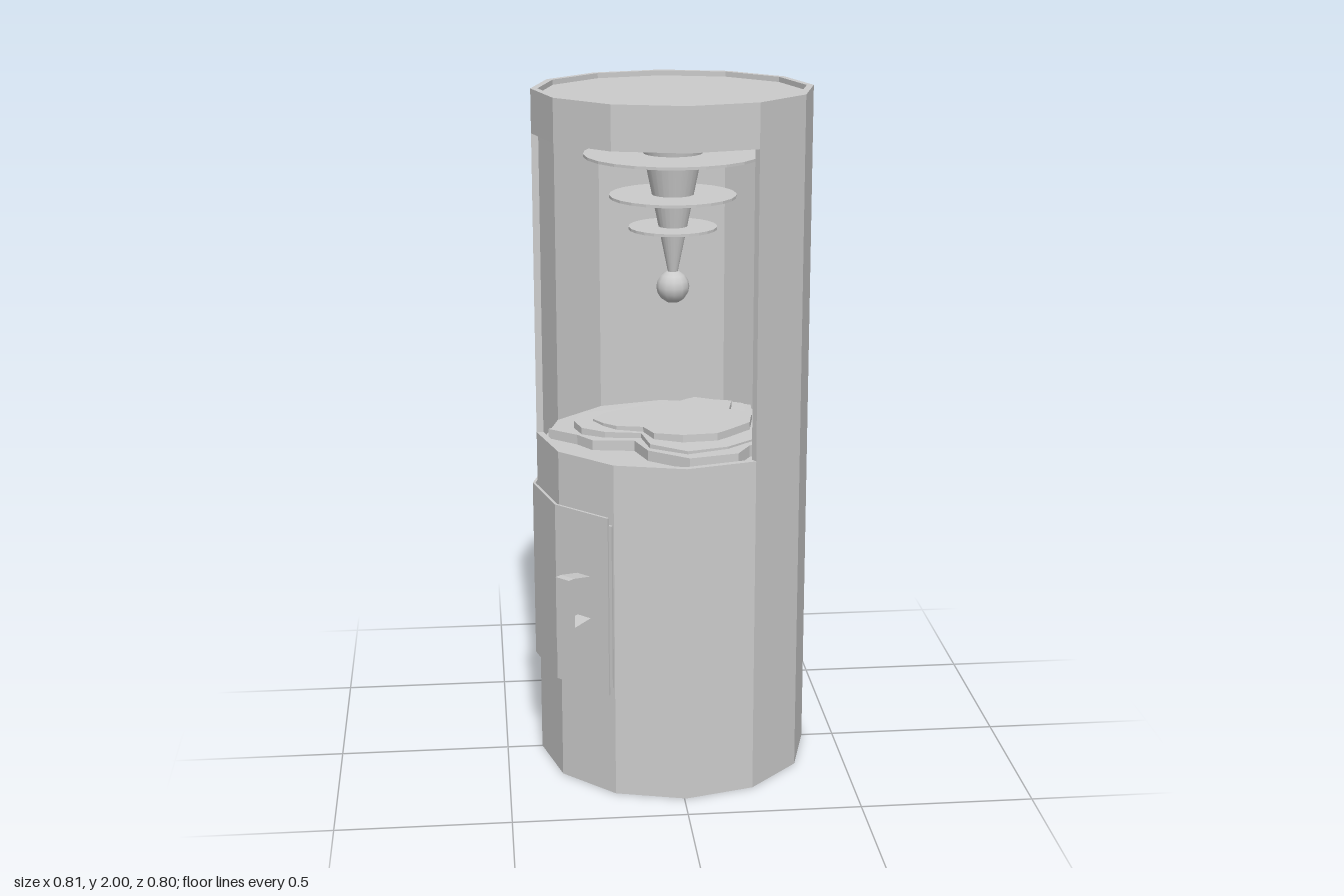
import * as THREE from 'three';

const CX = 0.005;   // axis of the twelve-sided body
const R_OUT = 0.4, R_IN = 0.38;
const grey = new THREE.MeshStandardMaterial({ color: 0xcccccc, flatShading: true, side: THREE.DoubleSide });
const smooth = new THREE.MeshStandardMaterial({ color: 0xcccccc });

// Point on a twelve-sided outline; k counts corners from +x towards +z, fractions lie on a flat side
function corner(k, r) {
  const at = (i) => new THREE.Vector2(CX + r * Math.cos(i * Math.PI / 6), -r * Math.sin(i * Math.PI / 6));
  const i = Math.floor(k);
  return at(i).lerp(at(i + 1), k - i);
}

function outline(k0, k1, r) {
  const pts = [corner(k0, r)];
  for (let i = Math.floor(k0) + 1; i < k1; i++) pts.push(corner(i, r));
  pts.push(corner(k1, r));
  return pts;
}

// Stand a plan shape up between two heights
function upright(shape, y0, y1) {
  const g = new THREE.ExtrudeGeometry(shape, { depth: y1 - y0, bevelEnabled: false });
  return g.rotateX(-Math.PI / 2).translate(0, y0, 0);
}

// Part of the wall from corner k0 to corner k1
function shell(k0, k1, rIn, rOut, y0, y1) {
  return upright(new THREE.Shape([...outline(k0, k1, rOut), ...outline(k0, k1, rIn).reverse()]), y0, y1);
}

// Closed ring of wall
function ring(y0, y1) {
  const s = new THREE.Shape(outline(0, 11, R_OUT));
  s.holes.push(new THREE.Path(outline(0, 11, R_IN)));
  return upright(s, y0, y1);
}

// Solid twelve-sided plug inside the wall
function plug(y0, y1) {
  return upright(new THREE.Shape(outline(0, 11, R_IN)), y0, y1);
}

export function createModel() {
  const root = new THREE.Group();
  root.name = 'displayCylinder';
  const add = (name, geometry, material = grey, parent = root) => {
    const m = new THREE.Mesh(geometry, material);
    m.name = name;
    parent.add(m);
    return m;
  };

  // Body: closed base, open window at the front and right, closed crown
  add('baseWall', ring(0, 1));
  add('windowWall', shell(6, 14, R_IN, R_OUT, 1, 1.875));
  add('crownWall', ring(1.875, 2));
  add('chamberFloor', plug(0.3, 0.98));
  add('lid', plug(1.93, 1.985));

  // Service door wrapped round three sides
  add('doorSeal', shell(4.02, 6.99, 0.398, 0.408, 0.333, 0.822));
  add('doorPanel', shell(4.07, 7, 0.406, 0.414, 0.31, 0.845));

  // Door handle: flared C-shaped grip
  const grip = new THREE.Shape([
    [0.4, 0.515], [0.4, 0.495], [0.468, 0.486], [0.49, 0.486], [0.49, 0.67], [0.468, 0.67],
    [0.4, 0.657], [0.4, 0.625], [0.467, 0.635], [0.467, 0.522], [0.4, 0.53],
  ].map(([x, y]) => new THREE.Vector2(x, y)));
  const handle = add('doorHandle',
    new THREE.ExtrudeGeometry(grip, { depth: 0.05, bevelEnabled: false }).translate(0, 0, -0.025));
  handle.rotation.y = Math.PI * 5 / 4;
  handle.position.x = CX;

  // Emitter: cone hanging from the lid, thin discs and a ball at the tip
  const emitter = new THREE.Group();
  emitter.name = 'emitter';
  emitter.position.x = CX;
  root.add(emitter);
  add('emitterCone', new THREE.CylinderGeometry(0.108, 0.012, 0.47, 24).translate(0, 1.695, 0), smooth, emitter);
  for (const [y, r] of [[1.81, 0.255], [1.692, 0.182], [1.6, 0.127]]) {
    add('emitterDisc', new THREE.CylinderGeometry(r, r, 0.008, 24).translate(0, y, 0), grey, emitter);
  }
  add('emitterBall', new THREE.SphereGeometry(0.048, 12, 8).translate(0, 1.427, 0), smooth, emitter);

  // Rubble: ragged slabs stacked on the chamber floor, slightly tilted
  const edge = [
    [-0.36, 0.0], [-0.28, 0.07], [-0.24, 0.13], [-0.12, 0.15], [-0.09, 0.25], [0.02, 0.34], [0.16, 0.31],
    [0.2, 0.24], [0.3, 0.16], [0.33, 0.02], [0.25, -0.06], [0.26, -0.18], [0.1, -0.25], [0.02, -0.2],
    [-0.1, -0.19], [-0.18, -0.12], [-0.28, -0.09],
  ];
  let seed = 7;
  const rand = () => (seed = (seed * 16807) % 2147483647) / 2147483647;
  const rubble = new THREE.Group();
  rubble.name = 'rubble';
  root.add(rubble);
  [[1, 0.978, 1.012], [0.88, 1.005, 1.026], [0.7, 1.018, 1.04]].forEach(([size, y0, y1], i) => {
    const pts = edge.map(([x, z]) => {
      const s = size * (i ? 0.9 + 0.2 * rand() : 1);
      return new THREE.Vector2(x * s, -z * s);
    });
    const slab = add('rubbleSlab', upright(new THREE.Shape(pts), y0, y1), grey, rubble);
    slab.geometry.translate(0, -1, 0);
    slab.position.y = 1;
    slab.rotation.set([0, 0.015, -0.02][i], 0, [0.01, -0.015, 0.02][i]);
  });

  return root;
}
